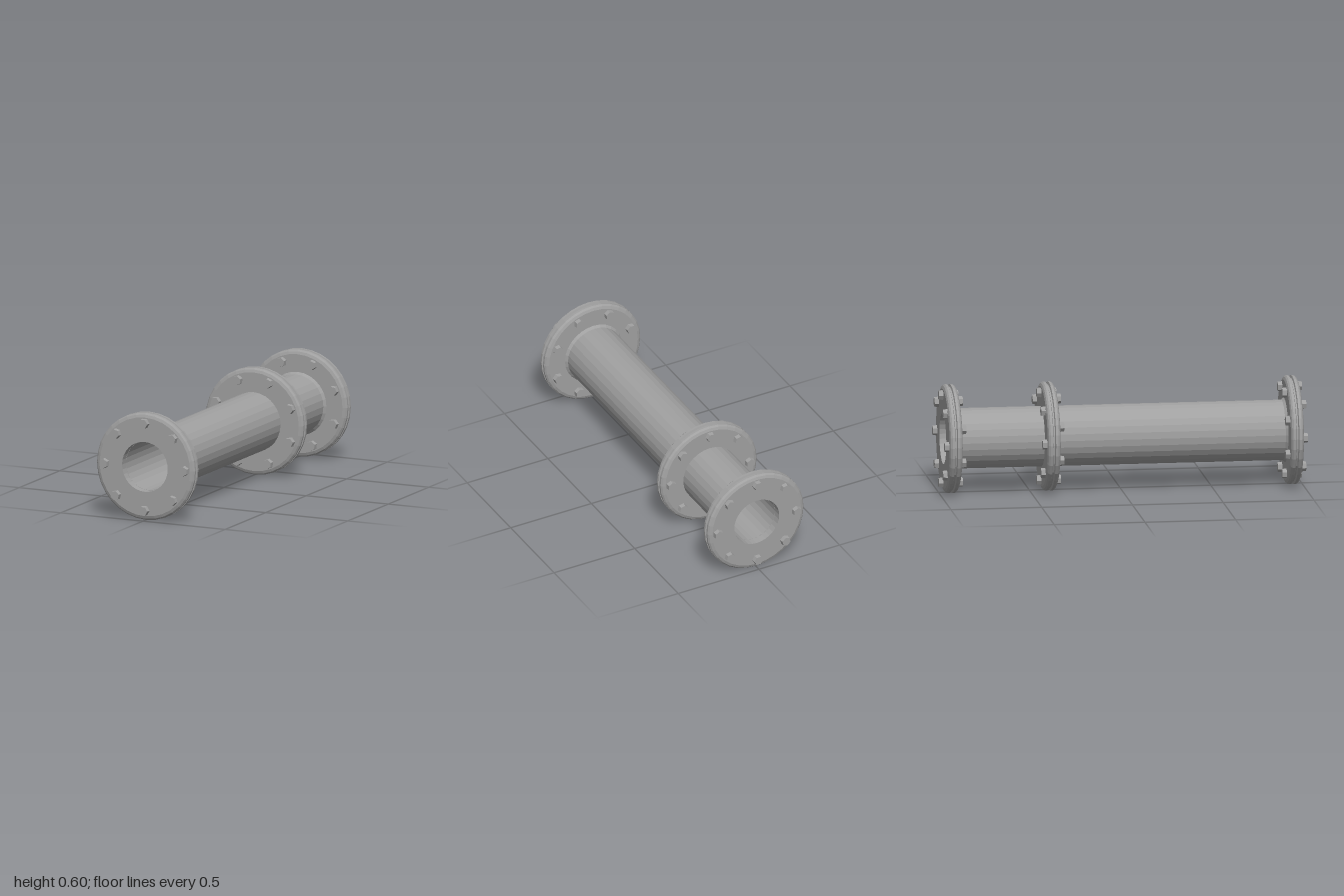
import * as THREE from 'three';

const AXIS_Y = 0.303;   // height of the pipe axis
const BORE = 0.138;     // inner radius
const PIPE_R = 0.165;   // outer radius
const FLANGE_R = 0.298;

export function createModel() {
  const steel = new THREE.MeshStandardMaterial({ color: 0xa0a0a0 });
  steel.flatShading = true;

  const model = new THREE.Group();
  model.name = 'flangedPipe';
  const body = new THREE.Group();
  body.name = 'pipeBody';
  body.position.y = AXIS_Y;
  model.add(body);

  // Revolve a closed [radius, z] profile around the z axis
  function ring(name, profile, segments, parent) {
    const points = profile.map(([r, z]) => new THREE.Vector2(r, z));
    points.push(points[0].clone());
    const geometry = new THREE.LatheGeometry(points, segments);
    geometry.rotateX(Math.PI / 2);
    const mesh = new THREE.Mesh(geometry, steel);
    mesh.name = name;
    parent.add(mesh);
  }

  // Hollow tube running between the end flanges
  ring('tube', [[PIPE_R, -0.93], [PIPE_R, 0.93], [BORE, 0.93], [BORE, -0.93]], 28, body);

  // Eight hexagonal heads on one face of a flange
  const boltGeometry = new THREE.CylinderGeometry(0.026, 0.03, 0.04, 6);
  boltGeometry.rotateX(Math.PI / 2);
  function bolts(flange, side, faceZ, offset) {
    for (let i = 0; i < 8; i++) {
      const a = (i / 8) * Math.PI * 2 + offset;
      const bolt = new THREE.Mesh(boltGeometry, steel);
      bolt.name = 'bolt';
      bolt.position.set(Math.cos(a) * 0.243, Math.sin(a) * 0.243, side * (faceZ + 0.004));
      if (side < 0) bolt.rotation.y = Math.PI;
      bolt.rotation.z = a * side;
      flange.add(bolt);
    }
  }

  // Double-plate flange with a groove round its rim; straightSide has the unrotated bolts
  function flange(name, z, straightSide, bore) {
    const group = new THREE.Group();
    group.name = name;
    group.position.z = z;
    const h = 0.036;
    ring(name + 'Plates', [
      [bore, -h], [0.275, -h], [FLANGE_R - 0.008, -0.03], [FLANGE_R, -0.021],
      [FLANGE_R, -0.008], [0.285, -0.004], [0.285, 0.004], [FLANGE_R, 0.008],
      [FLANGE_R, 0.021], [FLANGE_R - 0.008, 0.03], [0.275, h], [bore, h],
    ], 32, group);
    bolts(group, straightSide, h, 0);
    bolts(group, -straightSide, h, Math.PI / 8);
    body.add(group);
  }

  flange('frontFlange', 0.94, 1, BORE + 0.001);
  flange('middleFlange', -0.4, -1, 0.15);
  flange('backFlange', -0.94, -1, BORE + 0.001);

  // Low weld collars where the tube meets each flange
  for (const [z, dir] of [[0.905, -1], [-0.905, 1]]) {
    const profile = [[0.15, z], [0.178, z], [0.15, z + dir * 0.03]];
    ring('weldCollar', dir > 0 ? profile : profile.reverse(), 28, body);
  }
  return model;
}
